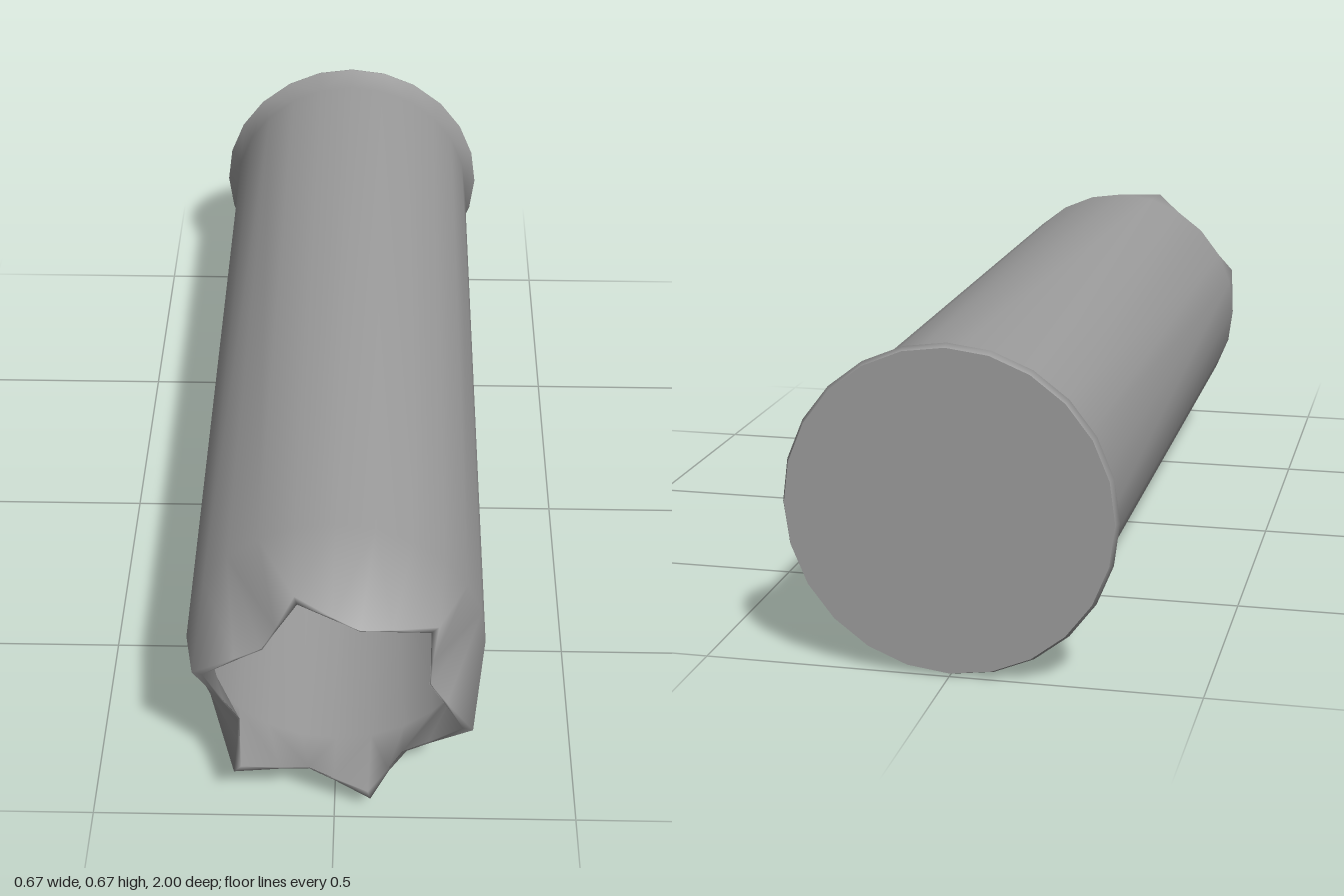
import * as THREE from 'three';

const SIDES = 24;
const CENTRE_Y = 0.3335;

// A ring is [z, radius]; radius may be a function of the side index.
// Rings run back-to-front outside and front-to-back inside so faces point outward.
function loft(name, rings, material) {
  const pos = [], index = [];
  rings.forEach(([z, radius]) => {
    for (let j = 0; j < SIDES; j++) {
      const a = (j / SIDES) * Math.PI * 2;
      const r = typeof radius === 'function' ? radius(j) : radius;
      pos.push(r * Math.cos(a), CENTRE_Y + r * Math.sin(a), z);
    }
  });
  for (let i = 0; i < rings.length - 1; i++) {
    for (let j = 0; j < SIDES; j++) {
      const k = (j + 1) % SIDES;
      const a = i * SIDES + j, b = i * SIDES + k;
      const c = b + SIDES, d = a + SIDES;
      // diagonals mirror about each crimp tip
      if (j % 4 === 1 || j % 4 === 2) index.push(a, b, c, a, c, d);
      else index.push(a, b, d, b, c, d);
    }
  }
  const g = new THREE.BufferGeometry();
  g.setAttribute('position', new THREE.Float32BufferAttribute(pos, 3));
  g.setIndex(index);
  g.computeVertexNormals();
  const mesh = new THREE.Mesh(g, material);
  mesh.name = name;
  return mesh;
}

// Flat disc across the axis, facing +z
function disc(name, radius, z, material) {
  const mesh = new THREE.Mesh(new THREE.CircleGeometry(radius, SIDES), material);
  mesh.position.set(0, CENTRE_Y, z);
  mesh.name = name;
  return mesh;
}

// Six-pointed crimp: tip, flank, valley, flank, with tips at 45 degrees + n * 60
const star = (tip, flank, valley) => (j) => [tip, flank, valley, flank][(j + 1) % 4];

export function createModel() {
  const material = new THREE.MeshStandardMaterial({ color: 0x9c9c9c });
  const group = new THREE.Group();
  group.name = 'spentCartridgeCase';

  // base disc, turned to face the back
  const base = disc('base', 0.327, -1, material);
  base.rotation.y = Math.PI;

  // flared rim, tube, crimped star mouth, thin lip and hollow bore in one smooth skin
  const casing = loft('casing', [
    [-1, 0.327], [-0.985, 0.3335], [-0.94, 0.306], [0.82, 0.306],
    [1, star(0.288, 0.224, 0.198)], [1, star(0.267, 0.219, 0.195)],
    [0.82, 0.288], [-0.94, 0.288],
  ], material);

  group.add(base, casing, disc('boreFloor', 0.288, -0.94, material));
  return group;
}
